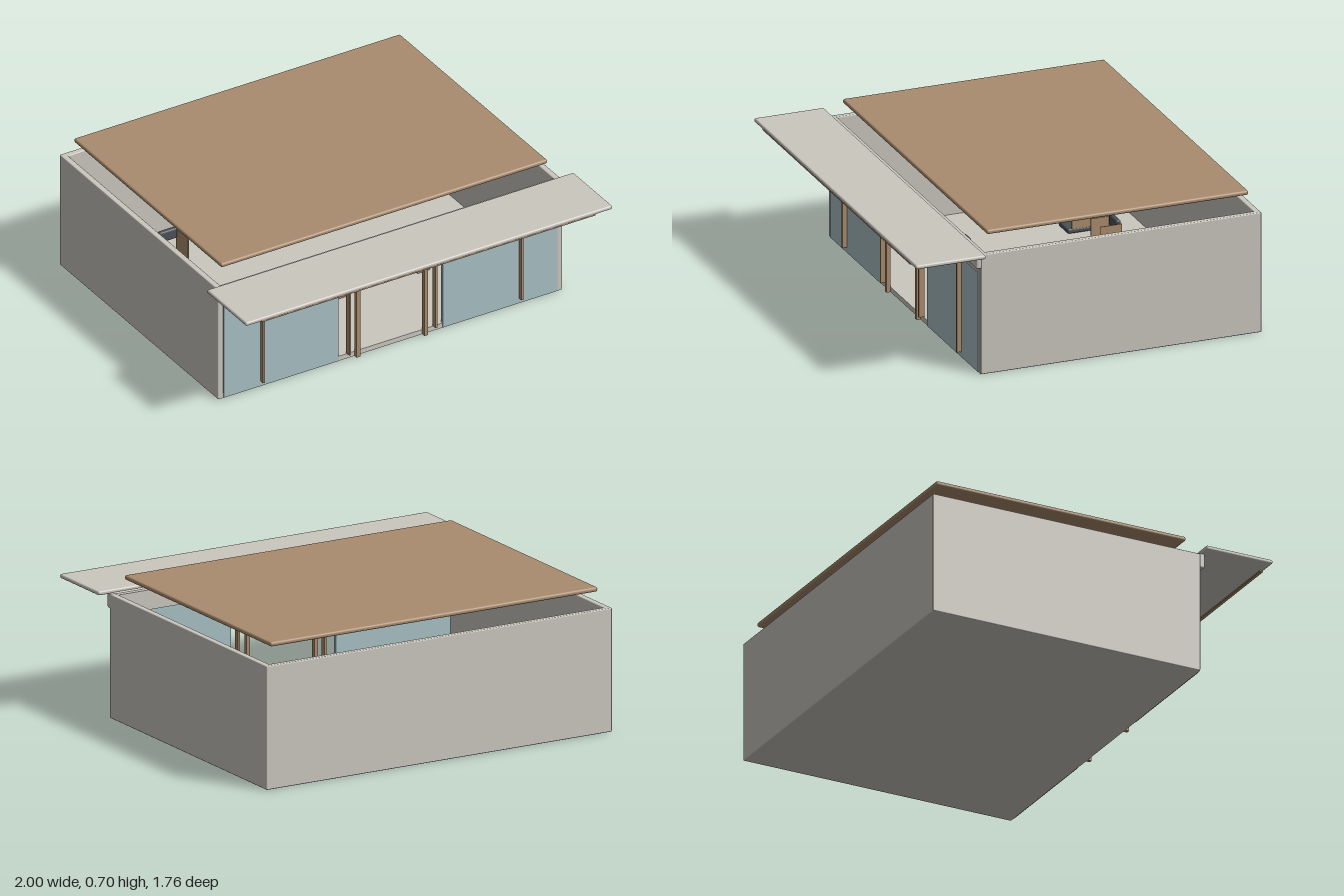
import * as THREE from 'three';
import { RoundedBoxGeometry } from 'three/addons/geometries/RoundedBoxGeometry.js';

const mat = (name, color) => Object.assign(new THREE.MeshStandardMaterial({ color }), { name });

export function createModel() {
  const plaster = mat('plaster', 0xcbc7bf);
  const wood = mat('wood', 0xaa8c6e);
  const glass = mat('glass', 0xa9c1c5);
  const charcoal = mat('charcoal', 0x4c5056);
  const model = new THREE.Group();
  model.name = 'pavilion';

  // Box given by its limits on each axis, optionally with rounded edges
  function box(name, material, [x0, x1], [y0, y1], [z0, z1], radius = 0, parent = model) {
    const size = [x1 - x0, y1 - y0, z1 - z0];
    const geometry = radius
      ? new RoundedBoxGeometry(...size, 2, radius)
      : new THREE.BoxGeometry(...size);
    const mesh = new THREE.Mesh(geometry, material);
    mesh.position.set((x0 + x1) / 2, (y0 + y1) / 2, (z0 + z1) / 2);
    mesh.name = name;
    parent.add(mesh);
    return mesh;
  }
  // The same box on both sides of the entrance
  function pair(name, material, [x0, x1], y, z, radius) {
    box(name + 'Left', material, [x0, x1], y, z, radius);
    box(name + 'Right', material, [-x1, -x0], y, z, radius);
  }

  // Shell: floor, back wall, side walls and front header
  box('floor', plaster, [-0.935, 0.935], [0, 0.025], [-0.875, 0.53]);
  box('backWall', plaster, [-0.94, 0.94], [0, 0.6], [-0.88, -0.85], 0.005);
  pair('sideWall', plaster, [0.91, 0.94], [0, 0.6], [-0.88, 0.53], 0.005);
  box('frontHeader', plaster, [-0.91, 0.91], [0.53, 0.598], [0.5, 0.53]);
  box('frontBeam', plaster, [-0.94, 0.94], [0.53, 0.605], [0.525, 0.553], 0.008);

  // Shopfront: glass panes with a rail above, upright fins and entrance posts
  pair('glassPane', glass, [0.285, 0.91], [0.003, 0.5], [0.52, 0.535]);
  pair('paneRail', plaster, [0.285, 0.91], [0.5, 0.53], [0.505, 0.533]);
  pair('paneFin', wood, [0.7, 0.71], [0.03, 0.54], [0.53, 0.558]);
  pair('entranceFin', wood, [0.23, 0.24], [0.03, 0.54], [0.53, 0.558]);
  pair('entrancePost', wood, [0.175, 0.195], [0, 0.47], [0.53, 0.55]);

  // Canopy over the entrance
  box('canopy', plaster, [-1, 1], [0.6, 0.62], [0.53, 0.88], 0.008);
  box('canopyTrim', wood, [-0.91, 0.91], [0.593, 0.601], [0.86, 0.875]);

  // Raised roof panel with slim strips beneath
  box('roof', wood, [-0.89, 0.89], [0.675, 0.697], [-0.835, 0.48], 0.009);
  for (const x of [-0.59, 0, 0.59]) {
    box('roofStrip', charcoal, [x - 0.006, x + 0.006], [0.666, 0.677], [-0.705, 0.35]);
  }

  // Row of wooden stools with dark cushions
  for (const x of [-0.45, 0, 0.45]) {
    const stool = new THREE.Group();
    stool.name = 'stool';
    stool.position.set(x, 0, 0.06);
    box('stoolBase', wood, [-0.035, 0.035], [0.02, 0.09], [-0.035, 0.035], 0, stool);
    box('stoolCushion', charcoal, [-0.035, 0.035], [0.085, 0.104], [-0.035, 0.035], 0.008, stool);
    model.add(stool);
  }

  // Row of low chairs with thin wooden sides
  for (const x of [-0.525, -0.178, 0.178, 0.525]) {
    const chair = new THREE.Group();
    chair.name = 'chair';
    chair.position.set(x, 0, -0.55);
    box('chairSeat', charcoal, [-0.058, 0.058], [0.028, 0.052], [-0.06, 0.07], 0.008, chair);
    box('chairBack', charcoal, [-0.048, 0.048], [0.15, 0.205], [-0.06, -0.035], 0.008, chair);
    for (const s of [-1, 1]) {
      const cx = s * 0.056;
      box('chairSide', wood, [cx - 0.002, cx + 0.002], [0.05, 0.19], [-0.06, 0.05], 0, chair);
    }
    model.add(chair);
  }
  return model;
}
